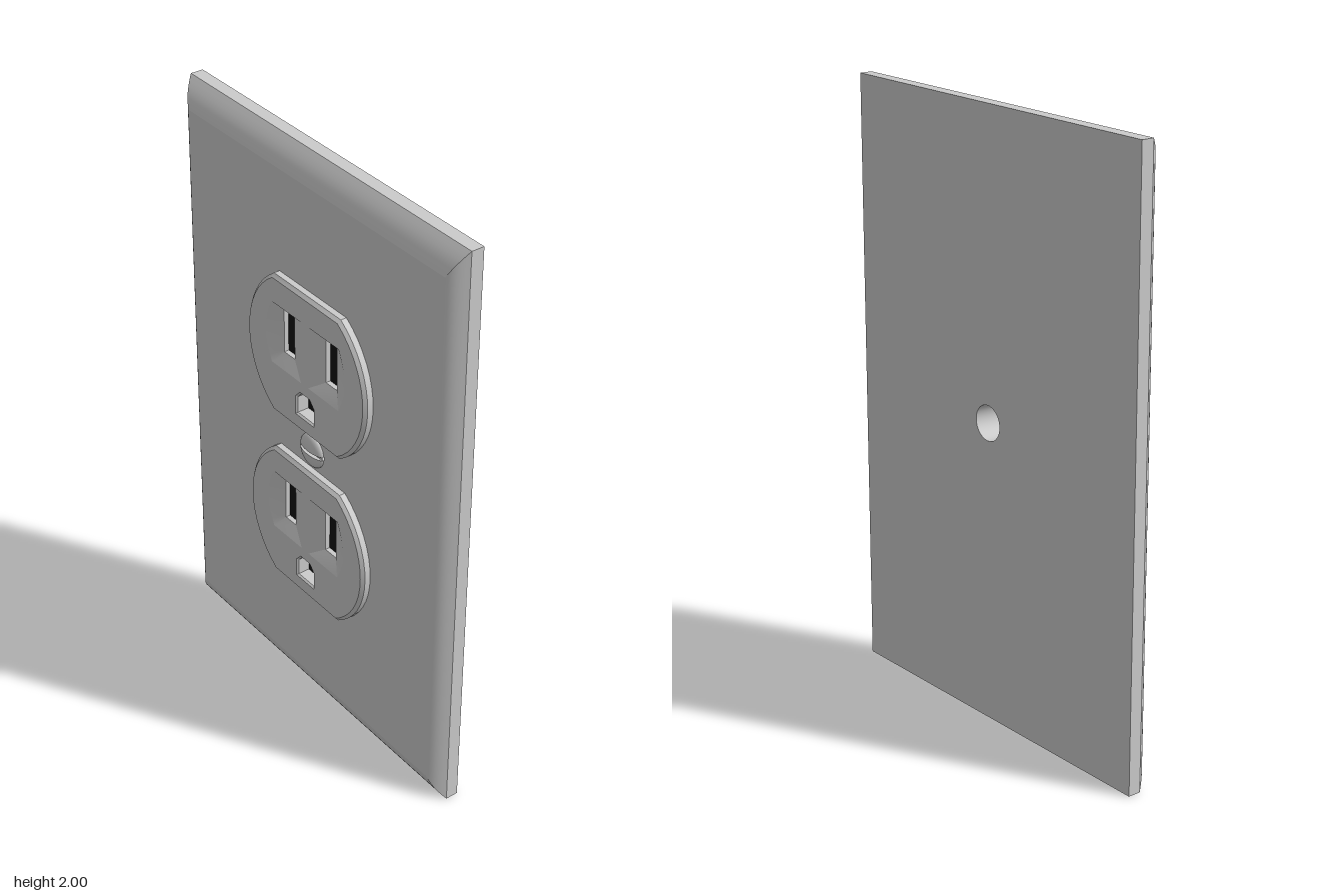
import * as THREE from 'three';
import { toCreasedNormals } from 'three/addons/utils/BufferGeometryUtils.js';
import { ParametricGeometry } from 'three/addons/geometries/ParametricGeometry.js';

const grey = new THREE.MeshStandardMaterial({ color: 0xcccccc });
const greyThin = new THREE.MeshStandardMaterial({ color: 0xcccccc, side: THREE.DoubleSide });
const black = new THREE.MeshStandardMaterial({ color: 0x111111 });

const CX = 0.018; // the fittings sit slightly off the plate's centre line
const PLATE_BACK = -0.06, PLATE_EDGE = -0.017, PLATE_FRONT = 0.03, FACE = 0.06;
const SCREW_Y = 1.004, SCREW_R = 0.058;

function add(parent, name, geometry, material = grey) {
  const mesh = new THREE.Mesh(geometry, material);
  mesh.name = name;
  parent.add(mesh);
  return mesh;
}

// Skin a list of [outline, z] loops; outlines run counter-clockwise.
// Back to front faces outward, front to back faces into a recess.
function loft(loops, crease = 0.5) {
  const pos = [];
  for (let k = 0; k < loops.length - 1; k++) {
    const [a, za] = loops[k], [b, zb] = loops[k + 1];
    for (let i = 0; i < a.length; i++) {
      const j = (i + 1) % a.length;
      pos.push(a[i].x, a[i].y, za, a[j].x, a[j].y, za, b[j].x, b[j].y, zb);
      pos.push(a[i].x, a[i].y, za, b[j].x, b[j].y, zb, b[i].x, b[i].y, zb);
    }
  }
  const g = new THREE.BufferGeometry();
  g.setAttribute('position', new THREE.Float32BufferAttribute(pos, 3));
  return toCreasedNormals(g, crease);
}

// Flat face with holes
function face(outline, z, holes = []) {
  const shape = new THREE.Shape(outline);
  holes.forEach(h => shape.holes.push(new THREE.Path(h)));
  return new THREE.ShapeGeometry(shape).translate(0, 0, z);
}

const points = list => list.map(([x, y]) => new THREE.Vector2(x, y));
const rect = (w, h, cy) => points([[-w, cy - h], [w, cy - h], [w, cy + h], [-w, cy + h]]);
const shift = (pts, x, y) => pts.map(p => new THREE.Vector2(p.x + x, p.y + y));
const mirror = pts => pts.map(p => new THREE.Vector2(-p.x, p.y)).reverse();

function circle(r, n = 32) {
  return Array.from({ length: n }, (_, i) => {
    const a = i / n * Math.PI * 2;
    return new THREE.Vector2(r * Math.cos(a), r * Math.sin(a));
  });
}

// Circle cut flat at top and bottom
function socketOutline(r, h) {
  const a = Math.asin(h / r), n = 16, pts = [];
  for (const start of [-a, Math.PI - a]) {
    for (let i = 0; i <= n; i++) {
      const t = start + 2 * a * i / n;
      pts.push(new THREE.Vector2(r * Math.cos(t), r * Math.sin(t)));
    }
  }
  return pts;
}

// Left-hand slot and the bowed funnel around it, with matching points
function slotOutlines() {
  const outer = [[-0.018, -0.066], [-0.018, 0.151]], inner = [[-0.079, -0.021], [-0.079, 0.13]];
  const n = 10;
  for (let i = 0; i <= n; i++) {
    const t = i / n;
    outer.push([-0.168 - 0.031 * Math.sin(Math.PI * t), 0.151 - 0.217 * t]);
    inner.push([-0.132, 0.13 - 0.151 * t]);
  }
  return [points(outer), points(inner)];
}

function buildSocket(cy) {
  const socket = new THREE.Group();
  const outer = socketOutline(0.297, 0.247), rim = socketOutline(0.286, 0.236);
  const [funnel, slot] = slotOutlines();
  const ground = points([[-0.047, -0.193], [0.047, -0.193], [0.047, -0.128],
    [0.025, -0.103], [-0.025, -0.103], [-0.047, -0.128]]);
  const groundInner = ground.map(p => new THREE.Vector2(p.x * 0.88, (p.y + 0.148) * 0.88 - 0.148));

  add(socket, 'socketRim', loft([[outer, PLATE_FRONT - 0.01], [outer, 0.05], [rim, FACE]]));
  add(socket, 'socketFace', face(rim, FACE, [funnel, mirror(funnel), ground]));
  for (const [side, f, s] of [['right', funnel, slot], ['left', mirror(funnel), mirror(slot)]]) {
    add(socket, side + 'SlotFunnel', loft([[f, FACE], [s, 0.038], [s, 0.022]]));
    add(socket, side + 'SlotOpening', face(s, 0.022), black);
  }
  add(socket, 'groundHoleWall', loft([[ground, FACE], [groundInner, 0.054], [groundInner, 0.015]]));
  add(socket, 'groundHoleOpening', face(groundInner, 0.015), black);
  socket.position.set(CX, cy, 0);
  return socket;
}

// Domed head split by a horizontal slot
function buildScrew() {
  const screw = new THREE.Group();
  const gap = 0.006, floor = 0.034;
  const dome = (x, y) => PLATE_FRONT + 0.02 * Math.sqrt(Math.max(0, 1 - (x * x + y * y) / SCREW_R ** 2));
  const chord = (u, y) => (2 * u - 1) * Math.sqrt(Math.max(0, SCREW_R ** 2 - y * y));
  for (const [name, sign] of [['upper', 1], ['lower', -1]]) {
    const half = new ParametricGeometry((u, v, p) => {
      const y = gap + (SCREW_R - gap) * Math.sin(v * Math.PI / 2);
      const x = chord((1 - Math.cos(u * Math.PI)) / 2, y);
      p.set(sign * x, sign * y, dome(x, y));
    }, 20, 10);
    add(screw, name + 'ScrewHead', half, greyThin);
    const wall = new ParametricGeometry((u, v, p) => {
      const x = chord(u, gap);
      p.set(x, sign * gap, THREE.MathUtils.lerp(Math.min(floor, dome(x, gap)), dome(x, gap), v));
    }, 16, 1);
    add(screw, name + 'ScrewSlotWall', wall, greyThin);
  }
  const bottom = add(screw, 'screwSlotFloor', new THREE.PlaneGeometry(SCREW_R * 1.96, gap * 2), greyThin);
  bottom.position.z = floor;
  screw.position.set(CX, SCREW_Y, 0);
  return screw;
}

function buildPlate() {
  const plate = new THREE.Group();
  const edge = rect(0.664, 1, 1);
  const hole = shift(circle(SCREW_R), CX, SCREW_Y);
  const cutouts = [1.322, 0.691].map(y => shift(socketOutline(0.297, 0.247), CX, y));

  // Straight edge, then a slightly bowed bevel, deeper at top and bottom
  const loops = [[edge, PLATE_BACK]];
  const steps = 6;
  for (let i = 0; i <= steps; i++) {
    const t = i / steps;
    const z = PLATE_EDGE + (PLATE_FRONT - PLATE_EDGE) * (t + 0.14 * Math.sin(Math.PI * t));
    loops.push([rect(0.664 - 0.05 * t, 1 - 0.088 * t, 1), Math.min(z, PLATE_FRONT)]);
  }
  add(plate, 'plateEdge', loft(loops, 0.35));
  add(plate, 'plateFront', face(loops[loops.length - 1][0], PLATE_FRONT, [hole, ...cutouts]));

  const back = face(mirror(edge), 0, [mirror(hole)]);
  back.rotateY(Math.PI).translate(0, 0, PLATE_BACK);
  add(plate, 'plateBack', back);
  add(plate, 'screwHoleWall', loft([[hole, PLATE_FRONT], [hole, PLATE_BACK]]));
  return plate;
}

export function createModel() {
  const model = new THREE.Group();
  model.name = 'wallOutlet';
  const parts = { coverPlate: buildPlate(), upperSocket: buildSocket(1.322),
    lowerSocket: buildSocket(0.691), screw: buildScrew() };
  for (const [name, part] of Object.entries(parts)) {
    part.name = name;
    model.add(part);
  }
  return model;
}
